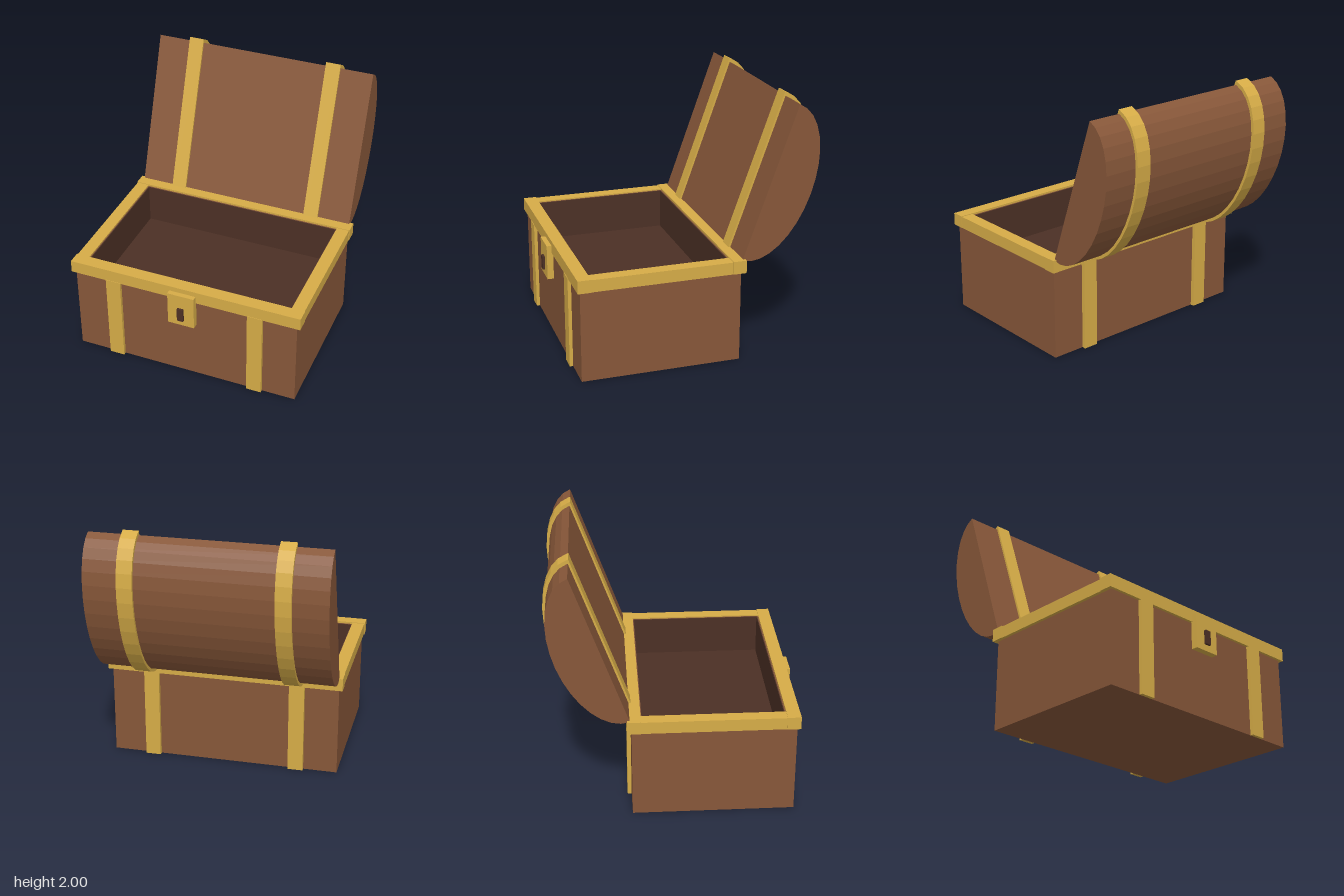
import * as THREE from 'three';

export function createModel() {
  const mat = (name, color) => Object.assign(new THREE.MeshStandardMaterial({ color }), { name });
  const wood = mat('brown wood', 0x875739);
  const gold = mat('gold trim', 0xd6ac47);
  const dark = mat('dark lining', 0x4c3025);

  const chest = new THREE.Group();
  chest.name = 'chest';

  // Box given by its min and max corners
  const box = (name, material, [x0, y0, z0], [x1, y1, z1], parent = chest) => {
    const mesh = new THREE.Mesh(new THREE.BoxGeometry(x1 - x0, y1 - y0, z1 - z0), material);
    mesh.position.set((x0 + x1) / 2, (y0 + y1) / 2, (z0 + z1) / 2);
    mesh.name = name;
    parent.add(mesh);
    return mesh;
  };

  // Body: solid base with four walls above it
  const X = 0.905, F = 0.89, B = -0.345, FLOOR = 0.47, WALL = 0.8;
  const IX = 0.825, IF = 0.802, IB = -0.268;
  box('base', wood, [-X, 0, B], [X, FLOOR, F]);
  box('frontWall', wood, [-X, FLOOR, IF], [X, WALL, F]);
  box('backWall', wood, [-X, FLOOR, B], [X, WALL, IB]);

  // Dark lining plates
  const T = 0.006;
  box('liningFloor', dark, [-IX, FLOOR, IB], [IX, FLOOR + T, IF]);
  box('liningFront', dark, [-IX, FLOOR, IF - T], [IX, WALL - 0.003, IF]);
  box('liningBack', dark, [-IX, FLOOR, IB], [IX, WALL - 0.003, IB + T]);

  // Rim along front and back
  box('frontRim', gold, [-0.935, 0.715, 0.81], [0.935, 0.815, 0.912]);
  box('backRim', gold, [-0.935, 0.715, -0.378], [0.935, 0.815, -0.275]);

  for (const s of [-1, 1]) {
    const side = s < 0 ? 'right' : 'left';
    const span = (a, b) => (s < 0 ? [-b, -a] : [a, b]);
    const sideBox = (name, material, xs, y0, y1, z0, z1) => {
      const [a, b] = span(...xs);
      box(side + name, material, [a, y0, z0], [b, y1, z1]);
    };
    sideBox('Wall', wood, [IX, X], FLOOR, WALL, IB, IF);
    sideBox('Lining', dark, [IX - T, IX], FLOOR, WALL - 0.003, IB, IF);
    sideBox('Rim', gold, [0.83, 0.93], 0.715, 0.81, -0.275, 0.81);
    // Upright straps on front and back
    sideBox('FrontStrap', gold, [0.52, 0.64], 0, 0.72, F, 0.916);
    sideBox('BackStrap', gold, [0.52, 0.64], 0, 0.72, -0.376, B);
  }

  // Lock with keyhole
  box('lockPlate', gold, [-0.107, 0.5, 0.9], [0.107, 0.775, 0.95]);
  box('keyhole', dark, [-0.025, 0.55, 0.94], [0.025, 0.66, 0.968]);

  // Open lid: half-ellipse section swept along x
  const lid = new THREE.Group();
  lid.name = 'lid';
  lid.position.set(0, 1.385, -0.5625);
  lid.rotation.x = -0.344;
  chest.add(lid);

  const slice = (name, material, a, b, front, width, x) => {
    const pts = [new THREE.Vector2(front, -a), new THREE.Vector2(front, a)];
    const N = 16;
    for (let i = front > 0 ? 0 : 1; i <= (front > 0 ? N : N - 1); i++) {
      const t = (Math.PI * i) / N;
      pts.push(new THREE.Vector2(-b * Math.sin(t), a * Math.cos(t)));
    }
    const geo = new THREE.ExtrudeGeometry(new THREE.Shape(pts), { depth: width, bevelEnabled: false });
    geo.translate(0, 0, -width / 2);
    geo.rotateY(-Math.PI / 2);
    const mesh = new THREE.Mesh(geo, material);
    mesh.name = name;
    mesh.position.x = x;
    lid.add(mesh);
  };
  slice('lidShell', wood, 0.617, 0.341, 0, 2 * X, 0);
  slice('leftLidStrap', gold, 0.645, 0.363, 0.015, 0.12, 0.58);
  slice('rightLidStrap', gold, 0.645, 0.363, 0.015, 0.12, -0.58);

  return chest;
}
